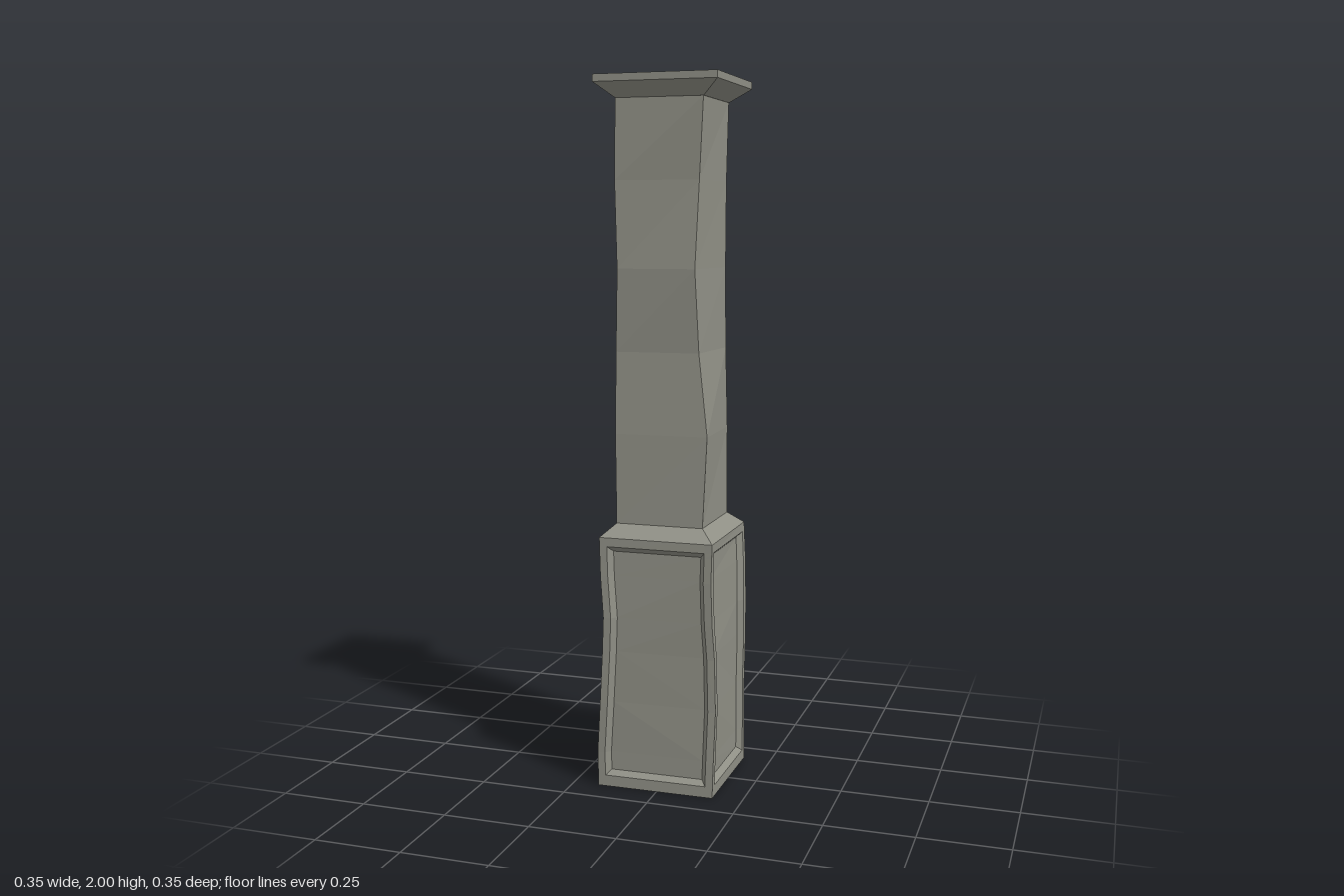
import * as THREE from 'three';

const stone = new THREE.MeshStandardMaterial({ color: 0x909086 });

// Flat-shaded mesh from a plain list of triangle corners
function makeMesh(name, tris) {
  const g = new THREE.BufferGeometry().setFromPoints(tris);
  g.computeVertexNormals();
  const m = new THREE.Mesh(g, stone);
  m.name = name;
  return m;
}

// Corner order everywhere: front-left(-x), front-right(+x), back-right, back-left
const ring = ([y, ...c]) => [0, 1, 2, 3].map(i => new THREE.Vector3(c[2 * i], y, c[2 * i + 1]));
const square = (y, x0, x1, z0, z1) => [y, x0, z1, x1, z1, x1, z0, x0, z0];

// Stack of four-cornered rings joined by quads, with optional end caps
function loft(levels, top, bottom) {
  const r = levels.map(ring), t = [];
  for (let j = 0; j < r.length - 1; j++) {
    for (let i = 0; i < 4; i++) {
      const k = (i + 1) % 4;
      t.push(r[j][i], r[j][k], r[j + 1][k], r[j][i], r[j + 1][k], r[j + 1][i]);
    }
  }
  const e = r[r.length - 1], b = r[0];
  if (top) t.push(e[0], e[1], e[2], e[0], e[2], e[3]);
  if (bottom) t.push(b[0], b[2], b[1], b[0], b[3], b[2]);
  return t;
}

// Ring of a stack at any height
function ringAt(levels, y) {
  let j = 0;
  while (j < levels.length - 2 && levels[j + 1][0] < y) j++;
  const a = ring(levels[j]), b = ring(levels[j + 1]);
  const f = (y - levels[j][0]) / (levels[j + 1][0] - levels[j][0]);
  return a.map((p, i) => p.clone().lerp(b[i], f));
}

// Worn plinth outline: y, then x,z of each corner
const plinth = [
  [0.00, -0.175, 0.168, 0.165, 0.165, 0.168, -0.168, -0.172, -0.17],
  [0.10, -0.177, 0.168, 0.168, 0.165, 0.168, -0.168, -0.176, -0.168],
  [0.25, -0.167, 0.172, 0.173, 0.162, 0.168, -0.165, -0.175, -0.166],
  [0.40, -0.158, 0.175, 0.170, 0.163, 0.172, -0.162, -0.170, -0.168],
  [0.50, -0.154, 0.176, 0.164, 0.168, 0.173, -0.158, -0.168, -0.168],
  [0.62, -0.163, 0.173, 0.161, 0.171, 0.170, -0.162, -0.167, -0.168],
  [0.73, -0.167, 0.170, 0.164, 0.170, 0.164, -0.165, -0.167, -0.165],
];

// One plinth side: a frame around a recessed, bevelled panel
function panelSide(side) {
  const ys = [0, 0.032, 0.046, 0.1, 0.25, 0.4, 0.5, 0.62, 0.69, 0.705, 0.73];
  const us = [0, 0.022, 0.036];
  const last = ys.length - 1;
  const out = new THREE.Vector3(0, 0, 1).applyAxisAngle(new THREE.Vector3(0, 1, 0), side * Math.PI / 2);
  const p = ys.map((y, j) => {
    const r = ringAt(plinth, y), a = r[side], b = r[(side + 1) % 4], w = a.distanceTo(b);
    return [...us.map(u => u / w), ...us.map(u => 1 - u / w).reverse()].map((f, i) => {
      const v = a.clone().lerp(b, f);
      if (i > 1 && i < 4 && j > 1 && j < last - 1) v.addScaledVector(out, -0.016);
      return v;
    });
  });
  const t = [];
  for (let j = 0; j < last; j++) {
    for (let i = 0; i < 5; i++) {
      const a = p[j][i], b = p[j][i + 1], c = p[j + 1][i + 1], d = p[j + 1][i];
      // mitre the bevel corners
      if ((i < 2) === (j < last / 2)) t.push(a, b, c, a, c, d);
      else t.push(a, b, d, b, c, d);
    }
  }
  return t;
}

export function createModel() {
  const group = new THREE.Group();
  group.name = 'pillar';

  // Plinth: four panelled sides, underside and sloped shoulder
  const base = new THREE.Group();
  base.name = 'plinth';
  ['front', 'right', 'back', 'left'].forEach((n, i) => base.add(makeMesh(n + 'Panel', panelSide(i))));
  const b = ring(plinth[0]);
  base.add(makeMesh('underside', [b[0], b[2], b[1], b[0], b[3], b[2]]));
  const foot = [0.765, -0.13, 0.127, 0.123, 0.127, 0.123, -0.123, -0.13, -0.123];
  base.add(makeMesh('shoulder', loft([plinth[plinth.length - 1], foot])));
  group.add(base);

  // Shaft with chipped, wavering corners
  group.add(makeMesh('shaft', loft([
    foot,
    [1.02, -0.132, 0.128, 0.134, 0.121, 0.124, -0.118, -0.118, -0.112],
    [1.25, -0.131, 0.122, 0.107, 0.112, 0.119, -0.116, -0.108, -0.102],
    [1.48, -0.124, 0.129, 0.100, 0.129, 0.117, -0.116, -0.106, -0.102],
    [1.72, -0.130, 0.129, 0.107, 0.111, 0.118, -0.117, -0.112, -0.108],
    [1.94, -0.128, 0.127, 0.122, 0.125, 0.122, -0.123, -0.128, -0.123],
  ])));

  // Capital: flared underside and thin square slab
  group.add(makeMesh('capital', loft([
    square(1.94, -0.128, 0.123, -0.123, 0.126),
    square(1.98, -0.176, 0.175, -0.177, 0.174),
    square(2.0, -0.176, 0.175, -0.177, 0.174),
  ], true, true)));

  return group;
}
